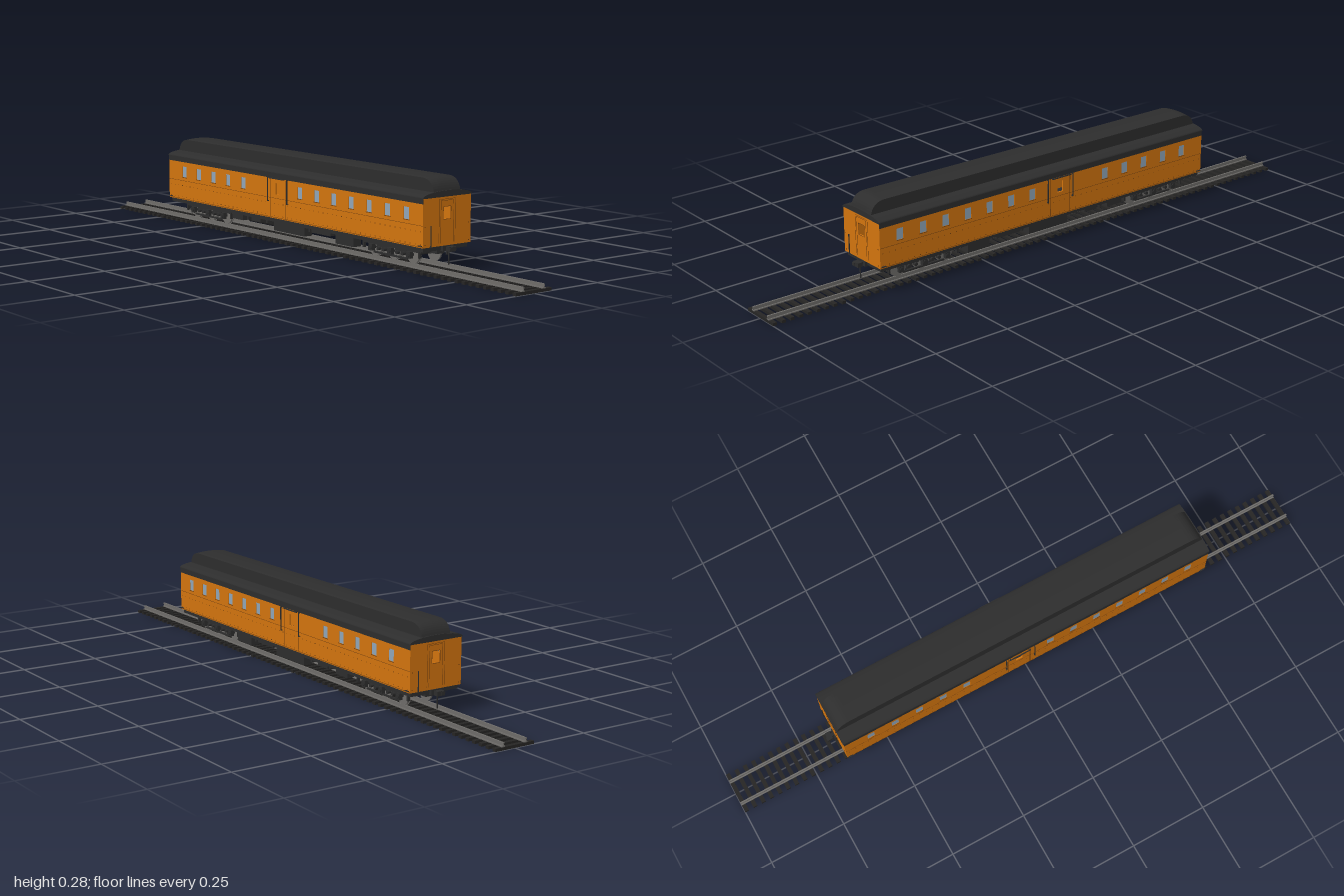
import * as THREE from 'three';
import { mergeGeometries } from 'three/addons/utils/BufferGeometryUtils.js';

const mat = (name, color) => {
  const m = new THREE.MeshStandardMaterial({ color });
  m.name = name;
  return m;
};

export function createModel() {
  const orange = mat('orange paint', 0xd2740e);
  const black = mat('roof black', 0x2d2d2d);
  const brown = mat('seam brown', 0x7a430c);
  const steel = mat('steel grey', 0x6e6c69);
  const glass = mat('window glass', 0x8fa5b8);
  const tieMat = mat('tie black', 0x262524);

  const model = new THREE.Group();
  model.name = 'passengerCarOnTrack';
  const box = (w, h, d, x, y, z) => new THREE.BoxGeometry(w, h, d).translate(x, y, z);
  const cylZ = (r, len, x, y, z, n = 24) =>
    new THREE.CylinderGeometry(r, r, len, n).rotateX(Math.PI / 2).translate(x, y, z);
  const cylX = (r, len, x, y, z, n = 20) =>
    new THREE.CylinderGeometry(r, r, len, n).rotateZ(Math.PI / 2).translate(x, y, z);
  const add = (name, geos, material, parent = model) => {
    const list = [].concat(geos);
    const mesh = new THREE.Mesh(list.length > 1 ? mergeGeometries(list) : list[0], material);
    mesh.name = name;
    parent.add(mesh);
    return mesh;
  };
  const rect = (T, cx, cy, w, h) => {
    const p = new T();
    p.moveTo(cx - w / 2, cy - h / 2);
    p.lineTo(cx + w / 2, cy - h / 2);
    p.lineTo(cx + w / 2, cy + h / 2);
    p.lineTo(cx - w / 2, cy + h / 2);
    p.closePath();
    return p;
  };
  const extrude = (shape, depth) =>
    new THREE.ExtrudeGeometry(shape, { depth, bevelEnabled: false, curveSegments: 12 });

  // Track: ties and two rails
  const ties = [];
  for (let i = 0; i < 69; i++) ties.push(box(0.013, 0.009, 0.136, -0.9935 + i * 1.987 / 68, 0.0045, 0));
  add('ties', ties, tieMat);
  const rails = [];
  for (const s of [-1, 1]) rails.push(
    box(2, 0.003, 0.011, 0, 0.0105, s * 0.04),
    box(2, 0.007, 0.002, 0, 0.0155, s * 0.04),
    box(2, 0.004, 0.005, 0, 0.0205, s * 0.04));
  add('rails', rails, steel);

  // Body: hollow walls with window openings
  const L = 0.646, W = 0.092, y0 = 0.085, y1 = 0.228, T = 0.005;
  const winX = [-0.556, -0.472, -0.388, -0.305, -0.222, 0.075, 0.158, 0.241, 0.324, 0.407, 0.49, 0.574];
  const doorX = -0.037, winY = 0.179, winW = 0.024, winH = 0.036;
  for (const s of [-1, 1]) {
    const side = new THREE.Group();
    side.name = s > 0 ? 'frontSide' : 'backSide';
    model.add(side);
    const wall = rect(THREE.Shape, 0, (y0 + y1) / 2, 2 * L, y1 - y0);
    for (const x of [...winX, doorX]) wall.holes.push(rect(THREE.Path, x, winY, winW, winH));
    add('sideWall', extrude(wall, T).translate(0, 0, s > 0 ? W - T : -W), orange, side);
    add('windowPanes', winX.map(x => box(winW, winH, 0.001, x, winY, s * (W - 0.002))), glass, side);
    add('letterBoard', box(2 * L, 0.017, 0.002, 0, 0.2205, s * W), black, side);

    // Seams, door outline, window sills and rivet rows
    const seams = [box(2 * L, 0.0012, 0.001, 0, 0.149, s * W), box(2 * L, 0.0015, 0.001, 0, 0.088, s * W)];
    for (const dx of [-0.039, 0.039]) seams.push(box(0.0025, 0.122, 0.001, doorX + dx, 0.15, s * W));
    for (const x of winX) seams.push(box(0.028, 0.002, 0.002, x, winY - winH / 2 - 0.001, s * W));
    for (let i = 0; i < 58; i++) for (const y of [0.094, 0.132])
      seams.push(box(0.0025, 0.0025, 0.001, -0.635 + i * 0.0223, y, s * W));
    add('seamsAndRivets', seams, brown, side);

    // Door rails
    const rail = [box(0.076, 0.003, 0.003, doorX, 0.212, s * 0.0985)];
    for (const x of [-0.084, 0.016]) {
      rail.push(box(0.0025, 0.077, 0.0025, x, 0.175, s * 0.0975));
      for (const y of [0.138, 0.212]) rail.push(box(0.0025, 0.0025, 0.007, x, y, s * 0.095));
    }
    for (const x of [-0.07, -0.004]) rail.push(box(0.0025, 0.0025, 0.007, x, 0.212, s * 0.095));
    for (const x of [-0.635, 0.635]) rail.push(box(0.016, 0.002, 0.004, x, 0.091, s * 0.094));
    add('doorRails', rail, black, side);
  }

  // End walls with an end door each
  const roofY = z => 0.229 + 0.016 * Math.sqrt(Math.max(0, 1 - (z / 0.0935) ** 2));
  for (const s of [-1, 1]) {
    const end = new THREE.Group();
    end.name = s > 0 ? 'leftEnd' : 'rightEnd';
    model.add(end);
    const wall = rect(THREE.Shape, 0, (y0 + y1) / 2, 2 * W - 0.001, y1 - y0);
    wall.holes.push(rect(THREE.Path, 0, 0.18, 0.028, 0.036));
    add('endWall', extrude(wall, T).rotateY(Math.PI / 2).translate(s > 0 ? L - T : -L, 0, 0), orange, end);
    const lines = [];
    for (const [hw, top] of [[0.031, 0.22], [0.024, 0.216]]) {
      lines.push(box(0.001, 0.0012, hw * 2, s * L, top, 0));
      for (const z of [-hw, hw]) lines.push(box(0.001, top - 0.093, 0.0012, s * L, (top + 0.093) / 2, z));
    }
    for (const z of [-1, 1]) {
      lines.push(box(0.001, 0.036, 0.0015, s * L, 0.18, z * 0.0145));
      for (const y of [0.093, 0.145]) lines.push(box(0.002, 0.003, 0.003, s * L, y, z * 0.084));
    }
    for (const y of [0.1615, 0.1985]) lines.push(box(0.001, 0.0015, 0.029, s * L, y, 0));
    add('endDoorTrim', lines, brown, end);
    add('endHandrail', box(0.003, 0.063, 0.002, s * (L + 0.003), 0.116, s * 0.064), black, end);

    // Coupler and buffer
    add('coupler', [
      box(0.05, 0.008, 0.01, s * 0.64, 0.077, 0),
      box(0.016, 0.014, 0.026, s * 0.664, 0.077, 0),
      box(0.006, 0.01, 0.012, s * 0.672, 0.077, 0.007),
      box(0.01, 0.016, 0.034, s * 0.644, 0.077, 0),
      box(0.003, 0.045, 0.003, s * 0.655, 0.052, 0)], black, end);
  }

  // Lower roof: shallow arch along the length
  const arch = new THREE.Shape();
  arch.moveTo(-0.0935, 0.227);
  arch.lineTo(0.0935, 0.227);
  for (let i = 0; i <= 24; i++) {
    const z = 0.0935 * Math.cos(i * Math.PI / 24);
    arch.lineTo(z, roofY(z));
  }
  add('lowerRoof', extrude(arch, 1.296).rotateY(Math.PI / 2).translate(-0.648, 0, 0), black);

  // Clerestory: raised roof with rounded ends and a lightly crowned top
  const prof = new THREE.Shape();
  prof.moveTo(-0.646, 0.236);
  prof.lineTo(0.646, 0.236);
  prof.bezierCurveTo(0.643, 0.262, 0.628, 0.28, 0.596, 0.28);
  prof.lineTo(-0.596, 0.28);
  prof.bezierCurveTo(-0.628, 0.28, -0.643, 0.262, -0.646, 0.236);
  const clere = new THREE.ExtrudeGeometry(prof, { depth: 0.102, bevelEnabled: false, steps: 8, curveSegments: 10 });
  clere.translate(0, 0, -0.051);
  const p = clere.attributes.position;
  for (let i = 0; i < p.count; i++) {
    const k = (p.getY(i) - 0.236) / 0.044;
    p.setY(i, p.getY(i) + 0.004 * k * (1 - (p.getZ(i) / 0.051) ** 2));
  }
  clere.computeVertexNormals();
  add('clerestory', clere, black);

  // Underframe and equipment
  add('floor', box(1.28, 0.013, 0.17, 0, 0.0785, 0), black);
  add('centreSill', box(1.24, 0.018, 0.03, 0, 0.066, 0), black);
  const gear = [];
  for (const s of [-1, 1]) gear.push(
    box(0.155, 0.036, 0.03, -0.002, 0.06, s * 0.06),
    box(0.084, 0.034, 0.03, 0.27, 0.058, s * 0.058),
    box(0.06, 0.02, 0.025, -0.28, 0.062, s * 0.06),
    box(0.05, 0.016, 0.025, -0.18, 0.065, s * 0.06),
    box(0.09, 0.016, 0.02, 0.15, 0.066, s * 0.06),
    box(0.6, 0.005, 0.006, 0, 0.066, s * 0.05));
  for (const x of [-0.22, -0.12, 0.1, 0.2]) gear.push(box(0.008, 0.014, 0.15, x, 0.067, 0));
  add('equipmentBoxes', gear, black);
  add('airTank', cylX(0.014, 0.13, -0.2, 0.058, 0.03), black);

  // Six-wheel trucks
  const wheelY = 0.05, wheelR = 0.0275, axleX = [-0.085, 0, 0.085];
  for (const s of [-1, 1]) {
    const truck = new THREE.Group();
    truck.name = s > 0 ? 'leftTruck' : 'rightTruck';
    truck.position.x = s * 0.465;
    model.add(truck);
    const wheels = [], frame = [box(0.05, 0.014, 0.11, -0.042, 0.06, 0), box(0.05, 0.014, 0.11, 0.042, 0.06, 0)];
    for (const x of axleX) {
      frame.push(cylZ(0.005, 0.11, x, wheelY, 0, 12));
      for (const z of [-1, 1]) {
        wheels.push(cylZ(wheelR, 0.006, x, wheelY, z * 0.0415), cylZ(wheelR + 0.002, 0.0018, x, wheelY, z * 0.0375));
        frame.push(box(0.018, 0.02, 0.012, x, wheelY, z * 0.058), cylZ(0.007, 0.008, x, wheelY, z * 0.0625, 12));
      }
    }
    for (const z of [-1, 1]) {
      frame.push(box(0.25, 0.008, 0.008, 0, 0.064, z * 0.054), box(0.15, 0.005, 0.006, 0, 0.037, z * 0.056));
      for (const x of [-0.125, 0.125]) frame.push(box(0.006, 0.022, 0.008, x, 0.055, z * 0.054));
      for (const x of [-0.055, -0.03, 0.03, 0.055]) frame.push(cylZ(0.006, 0.01, x, 0.05, z * 0.056, 10));
    }
    for (const x of [-0.128, 0.128]) frame.push(box(0.006, 0.008, 0.11, x, 0.064, 0));
    add('wheels', wheels, steel, truck);
    add('truckFrame', frame, black, truck);
  }
  return model;
}
